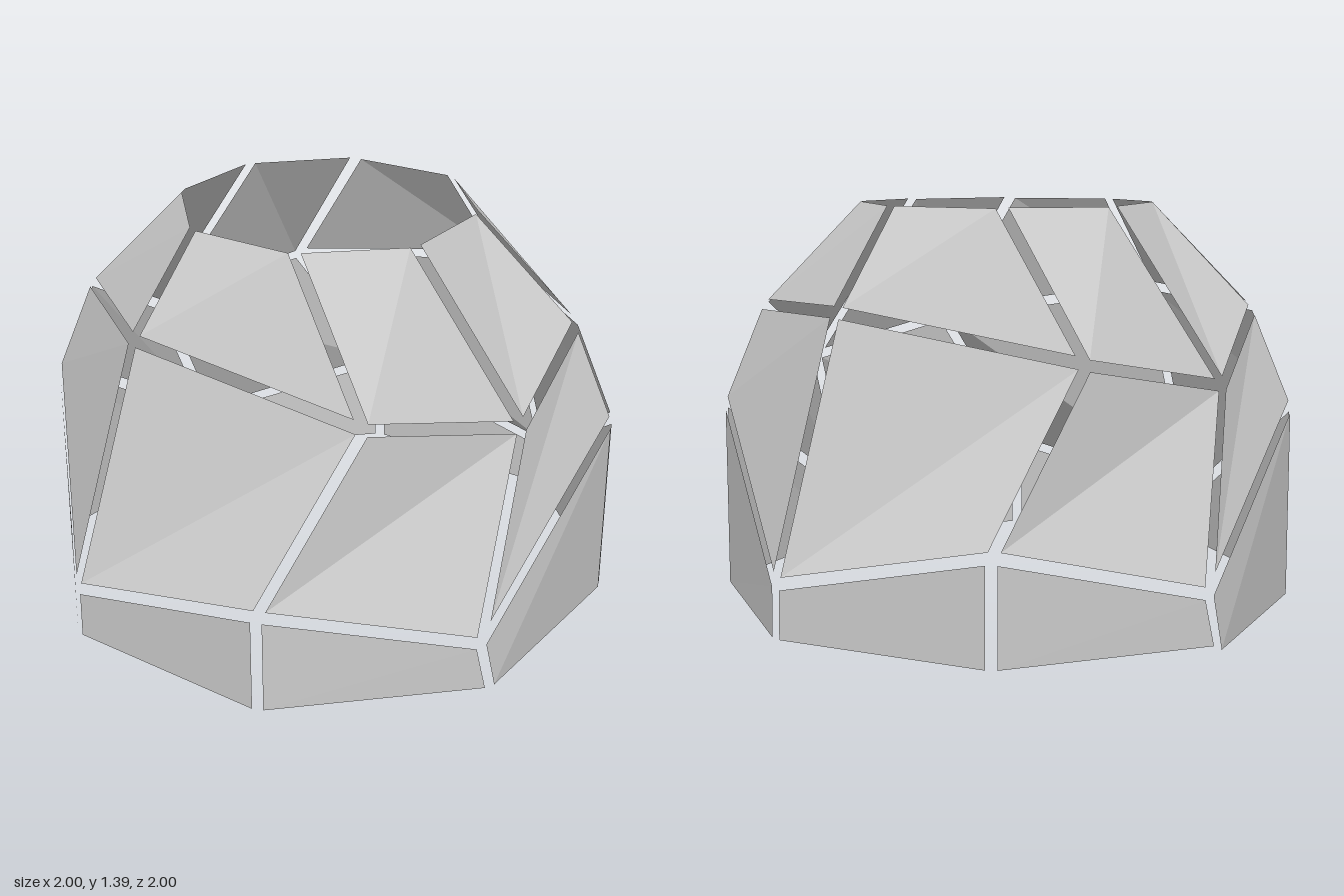
import * as THREE from 'three';

const GAP = 0.02; // every panel edge is pulled in by this much

// Half of each ring of dome nodes, going left to right around the front;
// the other half is the same turned by 180 degrees.
const halfRings = [
  [[-1.008, 0, 0], [-0.713, 0, 0.713], [0, 0, 1.008], [0.713, 0, 0.713]],
  [[-1.008, 0.69, 0], [-0.71, 0.2, 0.715], [0, 0.37, 1.008], [0.675, 0.19, 0.73]],
  [[-0.865, 1.03, 0], [-0.53, 1.055, 0.53], [0.285, 0.915, 0.735], [0.735, 0.8, 0.37]],
  [[-0.5, 1.405, 0], [-0.36, 1.405, 0.36], [0, 1.405, 0.5], [0.36, 1.405, 0.36]],
];
const rings = halfRings.map((half) => [
  ...half.map((p) => new THREE.Vector3(...p)),
  ...half.map(([x, y, z]) => new THREE.Vector3(-x, y, -z)),
]);

// Shrink a quad so that each edge moves inward by the gap
function inset(corners) {
  return corners.map((p, i) => {
    const u = corners[(i + 1) % 4].clone().sub(p).normalize();
    const v = corners[(i + 3) % 4].clone().sub(p).normalize();
    const sin = u.clone().cross(v).length();
    return p.clone().addScaledVector(u.add(v), GAP / sin);
  });
}

function panelGeometry(corners) {
  const geometry = new THREE.BufferGeometry().setFromPoints(corners);
  geometry.setIndex([0, 1, 2, 0, 2, 3]);
  geometry.computeVertexNormals();
  return geometry;
}

export function createModel() {
  const group = new THREE.Group();
  group.name = 'panelDome';
  const material = new THREE.MeshStandardMaterial({
    color: 0xcccccc, flatShading: true, side: THREE.DoubleSide,
  });

  // Three courses of eight separate thin panels
  ['basePanel', 'middlePanel', 'upperPanel'].forEach((name, row) => {
    const course = new THREE.Group();
    course.name = name + 's';
    for (let i = 0; i < 8; i++) {
      const j = (i + 1) % 8;
      const corners = inset([rings[row][i], rings[row][j], rings[row + 1][j], rings[row + 1][i]]);
      // One base panel at the back reaches the ground
      if (row === 0 && i === 7) corners[0].y = corners[1].y = 0;
      const panel = new THREE.Mesh(panelGeometry(corners), material);
      panel.name = name + (i + 1);
      course.add(panel);
    }
    group.add(course);
  });
  return group;
}
